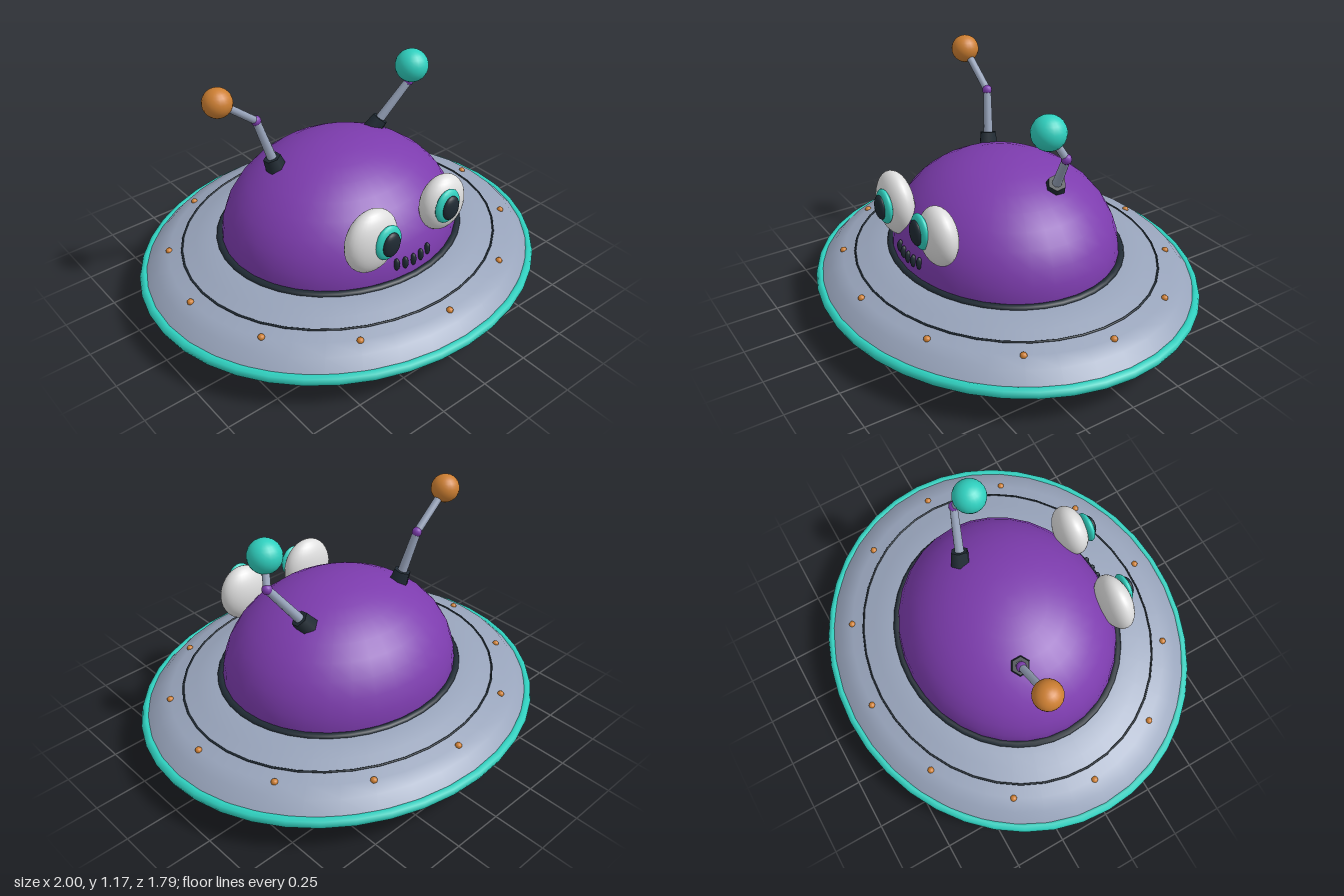
import * as THREE from 'three';

const mat = (name, color, extra = {}) => {
  const m = new THREE.MeshStandardMaterial({ color, ...extra });
  m.name = name;
  return m;
};

export function createModel() {
  const grey = mat('hull grey', 0x97a3ba);
  const dark = mat('dark trim', 0x1f2a33);
  const darkOpen = dark;
  const teal = mat('teal', 0x2fd0bf);
  const orange = mat('orange', 0xcd7f32);
  const purple = mat('purple', 0x7d3cae, { side: THREE.DoubleSide });
  const white = mat('eye white', 0xdedede);

  const model = new THREE.Group();
  model.name = 'saucer';
  const OVAL = 0.895; // the saucer is slightly shorter in z

  const add = (name, geo, material, parent = model) => {
    const mesh = new THREE.Mesh(geo, material);
    mesh.name = name;
    parent.add(mesh);
    return mesh;
  };
  const blob = (name, material, pos, radii, parent = model, w = 20, h = 14) => {
    const mesh = add(name, new THREE.SphereGeometry(1, w, h), material, parent);
    mesh.position.set(...pos);
    mesh.scale.set(...radii);
    return mesh;
  };
  const rod = (name, a, b, r0, r1, sides, material, parent) => {
    const dir = new THREE.Vector3().subVectors(b, a);
    const mesh = add(name, new THREE.CylinderGeometry(r1, r0, dir.length(), sides), material, parent);
    mesh.position.addVectors(a, b).multiplyScalar(0.5);
    mesh.quaternion.setFromUnitVectors(new THREE.Vector3(0, 1, 0), dir.normalize());
    return mesh;
  };
  const lathe = (pts) => new THREE.LatheGeometry(pts.map(([r, y]) => new THREE.Vector2(r, y)), 36);

  // Oval hull
  const hull = new THREE.Group();
  hull.name = 'hull';
  hull.scale.z = OVAL;
  model.add(hull);
  add('lowerHull', lathe([[0.43, 0.02], [0.65, 0.045], [0.87, 0.082], [0.95, 0.125], [0.985, 0.165]]), grey, hull);
  add('upperHull', lathe([[0.985, 0.165], [0.915, 0.235], [0.85, 0.259], [0.72, 0.295], [0.648, 0.318], [0.57, 0.322]]), grey, hull);
  add('innerWall', lathe([[0.57, 0.322], [0.48, 0.29], [0.435, 0.24], [0.43, 0.12], [0.43, 0.02]]), grey, hull);
  add('bottomRing', lathe([[0.42, 0], [0.435, 0], [0.435, 0.022]]), darkOpen, hull);
  add('bottomRingLining', lathe([[0.43, 0.12], [0.424, 0.12], [0.42, 0]]), darkOpen, hull);

  // Rings around the hull
  const ring = (name, r, tube, y, material, tubeScale = 1) => {
    const mesh = add(name, new THREE.TorusGeometry(r, tube, 8, 40).rotateX(Math.PI / 2), material, hull);
    mesh.position.y = y;
    mesh.scale.y = tubeScale;
  };
  ring('rimBand', 0.975, 0.025, 0.165, teal);
  ring('seamLine', 0.786, 0.005, 0.278, dark);
  ring('domeSeal', 0.597, 0.018, 0.322, dark, 0.75);

  // Rivets
  for (let i = 0; i < 12; i++) {
    const a = (i * Math.PI) / 6;
    blob('rivet', orange, [0.85 * Math.cos(a), 0.26, 0.85 * OVAL * Math.sin(a)], [0.016, 0.014, 0.016], model, 10, 8);
  }

  // Dome
  const dome = add('dome', new THREE.SphereGeometry(1, 32, 9, 0, Math.PI * 2, 0, Math.PI / 2), purple, hull);
  dome.scale.set(0.587, 0.442, 0.587);
  dome.position.y = 0.327;

  // Eyes: white, iris and pupil as flattened balls
  const eye = (name, ball, radii, iris) => {
    const g = new THREE.Group();
    g.name = name;
    model.add(g);
    blob('eyeball', white, ball, radii, g, 28, 18);
    blob('iris', teal, [iris[0], iris[1], 0.54], [0.071, 0.085, 0.026], g);
    blob('pupil', dark, [iris[0], iris[1], 0.56], [0.047, 0.06, 0.022], g);
  };
  eye('rightEye', [-0.208, 0.567, 0.468], [0.138, 0.155, 0.075], [-0.174, 0.582]);
  eye('leftEye', [0.208, 0.59, 0.47], [0.123, 0.138, 0.075], [0.173, 0.618]);

  // Mouth: a row of dark slots
  for (let i = -2; i <= 2; i++) {
    blob('mouthSlot', dark, [i * 0.046, 0.394 + 0.0025 * i * i, 0.518 - 0.002 * i * i], [0.014, 0.031, 0.016], model, 12, 10);
  }

  // Antennas: socket, two rods, joint and ball
  const antenna = (name, base, joint, tip, r, material) => {
    const [b, j, t] = [base, joint, tip].map((p) => new THREE.Vector3(...p));
    const g = new THREE.Group();
    g.name = name;
    model.add(g);
    const dir = new THREE.Vector3().subVectors(j, b).normalize();
    rod('socket', b.clone().addScaledVector(dir, -0.035), b.clone().addScaledVector(dir, 0.035), 0.05, 0.042, 6, dark, g);
    rod('lowerRod', b, j, 0.023, 0.019, 10, grey, g);
    rod('upperRod', j, t, 0.018, 0.018, 10, grey, g);
    blob('joint', purple, joint, [0.024, 0.024, 0.024], g, 10, 8);
    blob('ball', material, tip, [r, r, r], g);
  };
  antenna('rightAntenna', [-0.3, 0.715, -0.1], [-0.364, 0.945, -0.135], [-0.556, 1.103, -0.127], 0.067, orange);
  antenna('leftAntenna', [0.295, 0.715, -0.083], [0.445, 0.924, -0.024], [0.4, 1.043, 0.038], 0.079, teal);

  return model;
}
